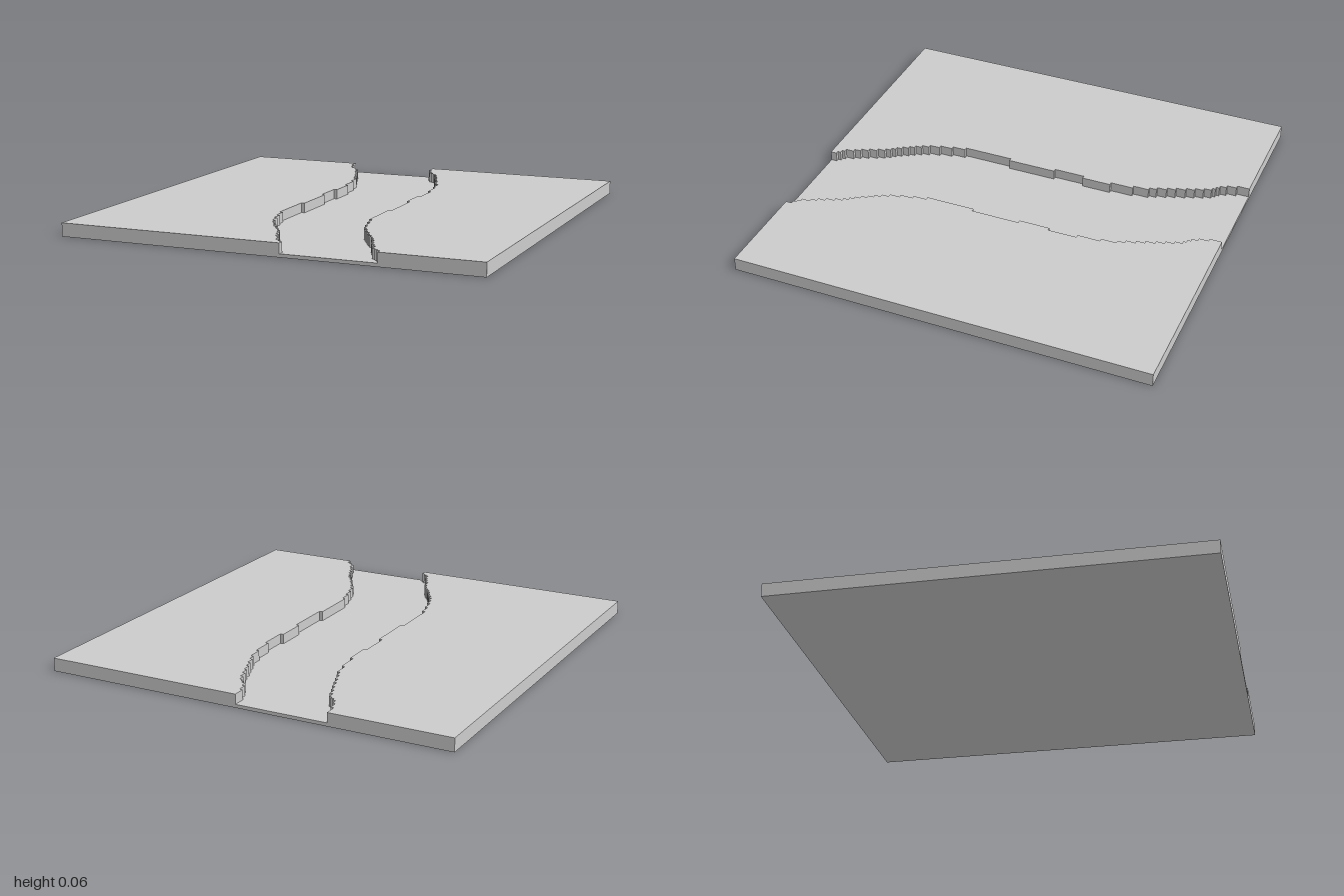
import * as THREE from 'three';

const STEP = 0.016;        // size of one stair step across the channel
const START = -0.417;      // left bank position at step 0
const CHANNEL = 28 * STEP; // channel width
const TOP = 0.063, BED = 0.016;

// Stepped course of the channel, back to front: [step index, z where that step ends]
const COURSE = [
  [0, -0.94], [1, -0.895], [2, -0.865], [3, -0.85], [4, -0.835], [5, -0.8], [6, -0.76], [7, -0.72],
  [8, -0.675], [9, -0.635], [10, -0.59], [11, -0.555], [12, -0.48], [13, -0.37], [14, -0.23], [13, -0.08],
  [14, 0.155], [13, 0.395], [14, 0.46], [15, 0.52], [16, 0.57], [17, 0.605], [18, 0.635], [19, 0.66],
  [20, 0.69], [21, 0.715], [22, 0.735], [23, 0.76], [24, 0.795], [25, 0.835], [26, 0.87], [27, 0.9],
  [28, 0.94], [29, 0.955], [30, 0.97], [31, 1],
];

// Stepped edge line in plan, as (x, -z) points
function steppedEdge(offset) {
  const points = [];
  let z = -1;
  for (const [level, end] of COURSE) {
    const x = START + level * STEP + offset;
    points.push(new THREE.Vector2(x, -z), new THREE.Vector2(x, -end));
    z = end;
  }
  return points;
}

const straightEdge = (x) => [new THREE.Vector2(x, 1), new THREE.Vector2(x, -1)];

// Slab standing on the ground between two plan edges
function slab(name, edgeA, edgeB, height, material) {
  const shape = new THREE.Shape([...edgeA, ...[...edgeB].reverse()]);
  const geometry = new THREE.ExtrudeGeometry(shape, { depth: height, bevelEnabled: false });
  geometry.rotateX(-Math.PI / 2);
  const mesh = new THREE.Mesh(geometry, material);
  mesh.name = name;
  return mesh;
}

export function createModel() {
  const group = new THREE.Group();
  group.name = 'riverTile';
  const material = new THREE.MeshStandardMaterial({ color: 0xcccccc, flatShading: true });
  const edgeWest = steppedEdge(0);
  const edgeEast = steppedEdge(CHANNEL);

  group.add(
    slab('rightBank', straightEdge(-1), edgeWest, TOP, material),
    slab('riverBed', edgeWest, edgeEast, BED, material),
    slab('leftBank', edgeEast, straightEdge(1), TOP, material),
  );
  return group;
}
